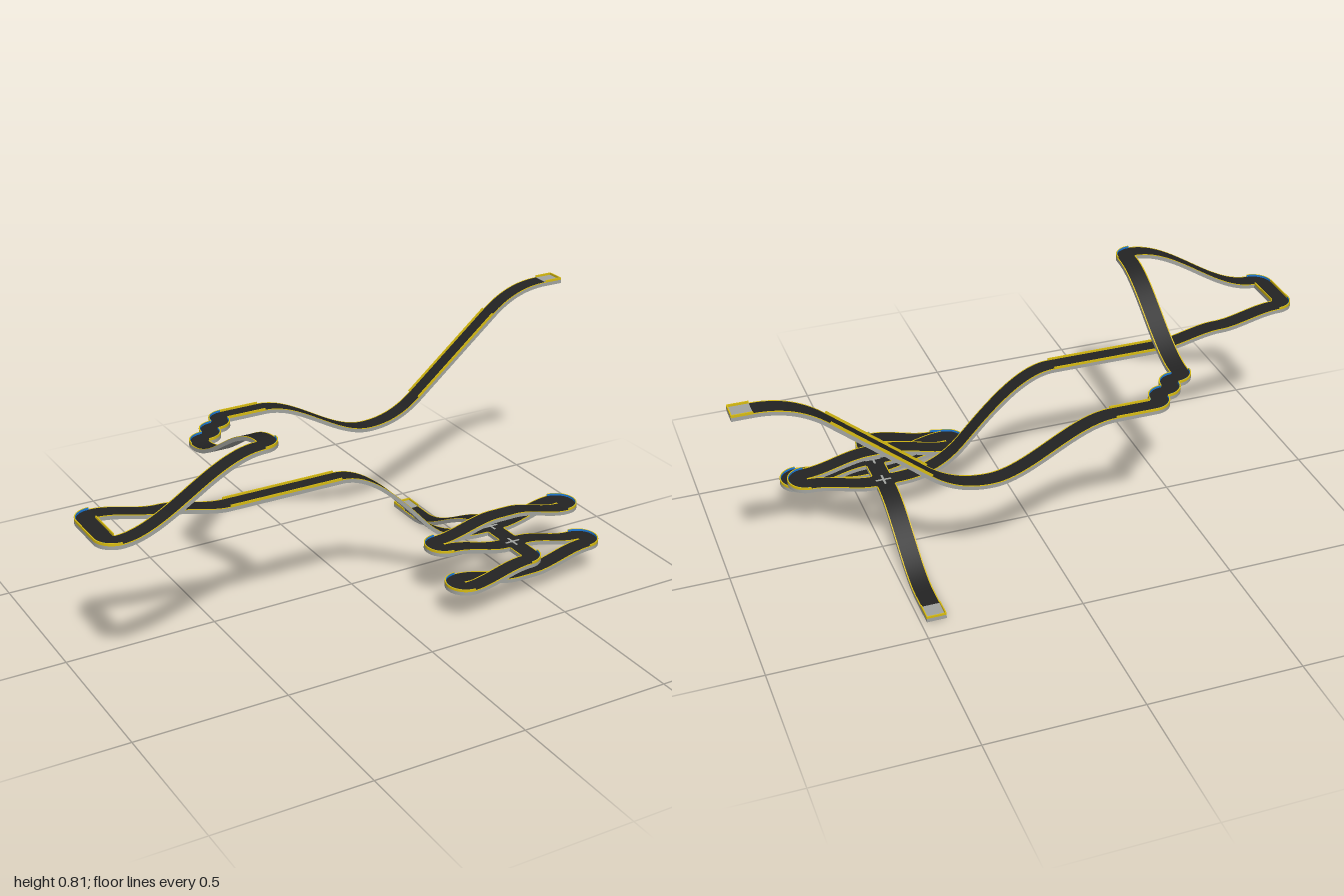
import * as THREE from 'three';

const T = 0.0637;      // tile size = track width
const H = T / 2;
const SLAB = 0.012;    // slab thickness
const RIM = 0.0035;    // edge strip width
const WALL = 0.008;    // raised edge height

const mat = (name, color) => {
  const m = new THREE.MeshStandardMaterial({ color });
  m.name = name;
  return m;
};

// Sweep a rectangular section (u across, v up) along a list of frames
function sweep(frames, u0, u1, v0, v1) {
  const section = [[u0, v0], [u1, v0], [u1, v1], [u0, v1]];
  const pos = [], idx = [];
  const put = (f, [u, v]) => {
    const p = f.p.clone().addScaledVector(f.side, u).addScaledVector(f.up, v);
    pos.push(p.x, p.y, p.z);
  };
  for (let e = 0; e < 4; e++) {
    const base = pos.length / 3;
    frames.forEach((f) => { put(f, section[e]); put(f, section[(e + 1) % 4]); });
    for (let k = 0; k < frames.length - 1; k++) {
      const a = base + k * 2;
      idx.push(a, a + 2, a + 1, a + 1, a + 2, a + 3);
    }
  }
  // End caps
  for (const [f, flip] of [[frames[0], false], [frames[frames.length - 1], true]]) {
    const a = pos.length / 3;
    section.forEach((c) => put(f, c));
    if (flip) idx.push(a, a + 2, a + 1, a, a + 3, a + 2);
    else idx.push(a, a + 1, a + 2, a, a + 2, a + 3);
  }
  const g = new THREE.BufferGeometry();
  g.setAttribute('position', new THREE.Float32BufferAttribute(pos, 3));
  g.setIndex(idx);
  g.computeVertexNormals();
  return g;
}

export function createModel() {
  const model = new THREE.Group();
  model.name = 'trackCourse';
  const grey = mat('slabGrey', 0xa2a4a0);
  const black = mat('deckBlack', 0x232323);
  const yellow = mat('rimYellow', 0xd8bc12);
  const blue = mat('innerWallBlue', 0x1c7ad8);

  // Travelling position and heading along the course
  const at = new THREE.Vector3(1, 0.785, -0.3145);
  let heading = Math.PI;

  const frame = (p, a, slope = 0) => ({
    p,
    side: new THREE.Vector3(-Math.sin(a), 0, Math.cos(a)),
    up: new THREE.Vector3(-slope * Math.cos(a), 1, -slope * Math.sin(a)).normalize(),
  });

  const add = (group, name, geo, material) => {
    const m = new THREE.Mesh(geo, material);
    m.name = name;
    group.add(m);
    return m;
  };

  const begin = (name) => {
    const g = new THREE.Group();
    g.name = name;
    model.add(g);
    return g;
  };

  // Straight or hilly piece: cubic height profile with end slopes m0, m1
  function run(name, len, dy = 0, { m0 = 0, m1 = 0, rim = 0.0015, deck = black } = {}) {
    const dir = new THREE.Vector3(Math.cos(heading), 0, Math.sin(heading));
    const n = dy === 0 ? 1 : 28;
    const frames = [];
    for (let i = 0; i <= n; i++) {
      const t = i / n, t2 = t * t, t3 = t2 * t;
      const y = (t3 - 2 * t2 + t) * len * m0 + (3 * t2 - 2 * t3) * dy + (t3 - t2) * len * m1;
      const slope = ((3 * t2 - 4 * t + 1) * len * m0 + (6 * t - 6 * t2) * dy + (3 * t2 - 2 * t) * len * m1) / len;
      const p = at.clone().addScaledVector(dir, len * t);
      p.y += y;
      frames.push(frame(p, heading, slope));
    }
    const g = begin(name);
    const inset = rim ? RIM : 0;
    add(g, 'slab', sweep(frames, -H, H, 0, SLAB), grey);
    add(g, 'deck', sweep(frames, -H + inset, H - inset, SLAB, SLAB + 0.0008), deck);
    if (rim) {
      add(g, 'rimLeft', sweep(frames, -H, -H + RIM, SLAB, SLAB + rim), yellow);
      add(g, 'rimRight', sweep(frames, H - RIM, H, SLAB, SLAB + rim), yellow);
    }
    at.addScaledVector(dir, len);
    at.y += dy;
    return g;
  }

  // Quarter turn inside one tile: sign +1 right, -1 left
  function turn(sign, times = 1) {
    for (let q = 0; q < times; q++) {
      const centre = at.clone().addScaledVector(frame(at, heading).side, sign * H);
      const frames = [];
      for (let i = 0; i <= 12; i++) {
        const a = heading + sign * (i / 12) * Math.PI / 2;
        const f = frame(null, a);
        f.p = centre.clone().addScaledVector(f.side, -sign * H);
        frames.push(f);
      }
      const g = begin('corner');
      const band = (a, b, v0, v1) => sweep(frames, Math.min(-sign * a, -sign * b), Math.max(-sign * a, -sign * b), v0, v1);
      add(g, 'slab', band(-H + 0.0001, H, 0, SLAB), grey);
      add(g, 'deck', band(-H + 0.0001, H - RIM, SLAB, SLAB + 0.0008), black);
      add(g, 'outerWall', band(H - RIM, H, SLAB, SLAB + WALL), yellow);
      add(g, 'innerWallFace', band(H - RIM - 0.0008, H - RIM, SLAB, SLAB + WALL - 0.0003), blue);
      at.copy(frames[12].p);
      heading += sign * Math.PI / 2;
    }
  }

  // Terminal tile with a wall on three sides
  function terminal(name, first) {
    const a = at.clone();
    const g = run(name, T, 0, { rim: WALL, deck: grey });
    const dir = at.clone().sub(a).normalize();
    const p = first ? a : at.clone().addScaledVector(dir, -RIM);
    const ends = [p, p.clone().addScaledVector(dir, RIM)].map((q) => frame(q, heading));
    add(g, 'endWall', sweep(ends, -H, H, SLAB, SLAB + WALL), yellow);
  }

  // Level crossing with a plus mark
  function crossing() {
    const a = at.clone();
    const g = run('crossing', T, 0, { rim: 0 });
    const mid = a.add(at).multiplyScalar(0.5);
    for (const [w, d] of [[0.052, 0.007], [0.007, 0.052]]) {
      add(g, 'crossMark', new THREE.BoxGeometry(w, 0.002, d), grey).position.set(mid.x, mid.y + SLAB + 0.001, mid.z);
    }
  }

  const S = 0.213, STEP = 0.039, walled = { rim: WALL };

  // Start, long descent and valley
  terminal('startTile', true);
  run('descentCrest', 0.206, -0.075, { m1: -0.84 });
  run('descentRamp', 0.295, -0.248, { m0: -0.84, m1: -0.84, rim: WALL });
  run('valley', 0.2, -0.073, { m0: -0.84 });
  run('valleyExit', 0.395, 0.148);
  run('straight', 0.135, 0, walled);

  // Zigzag of tight corners, then the hill
  [-1, 1, -1, 1, -1].forEach((s) => turn(s));
  run('hillClimb', 0.454, 0.188);
  turn(1);
  run('hillDescent', 0.45, -0.188);
  turn(1);
  run('straight', 0.128, 0, walled);
  turn(1);

  // Stepped slope, long straight and big drop
  run('step', S, -0.036);
  run('step', S, -0.035);
  run('longStraight', 0.38, 0, walled);
  run('bigDrop', 0.3, -0.216, { m1: -1.1 });
  run('bigDropRunout', 0.248, -0.102, { m0: -1.1 });

  // Folded lanes, weaving over and under the exit lane
  crossing();
  run('laneRise', S, STEP);
  turn(1, 2);
  run('bridgeUp', S, STEP);
  run('bridgeTop', T);
  run('bridgeDown', S, -STEP);
  turn(-1, 2);
  run('laneFall', S, -STEP);
  crossing();
  run('laneFall', S, -STEP);
  turn(1, 2);
  run('underpassDown', S, -STEP);
  run('underpass', T);
  run('underpassUp', S, STEP);
  turn(-1, 2);
  run('laneRise', S, STEP);
  turn(-1);

  // Exit lane, passing through both crossings
  run('exitLane', T);
  at.z -= T;
  run('exitLane', T);
  at.z -= T;
  run('exitDrop', 0.407, -0.148);
  run('exitFlat', 0.061);
  terminal('finishTile', false);

  return model;
}
